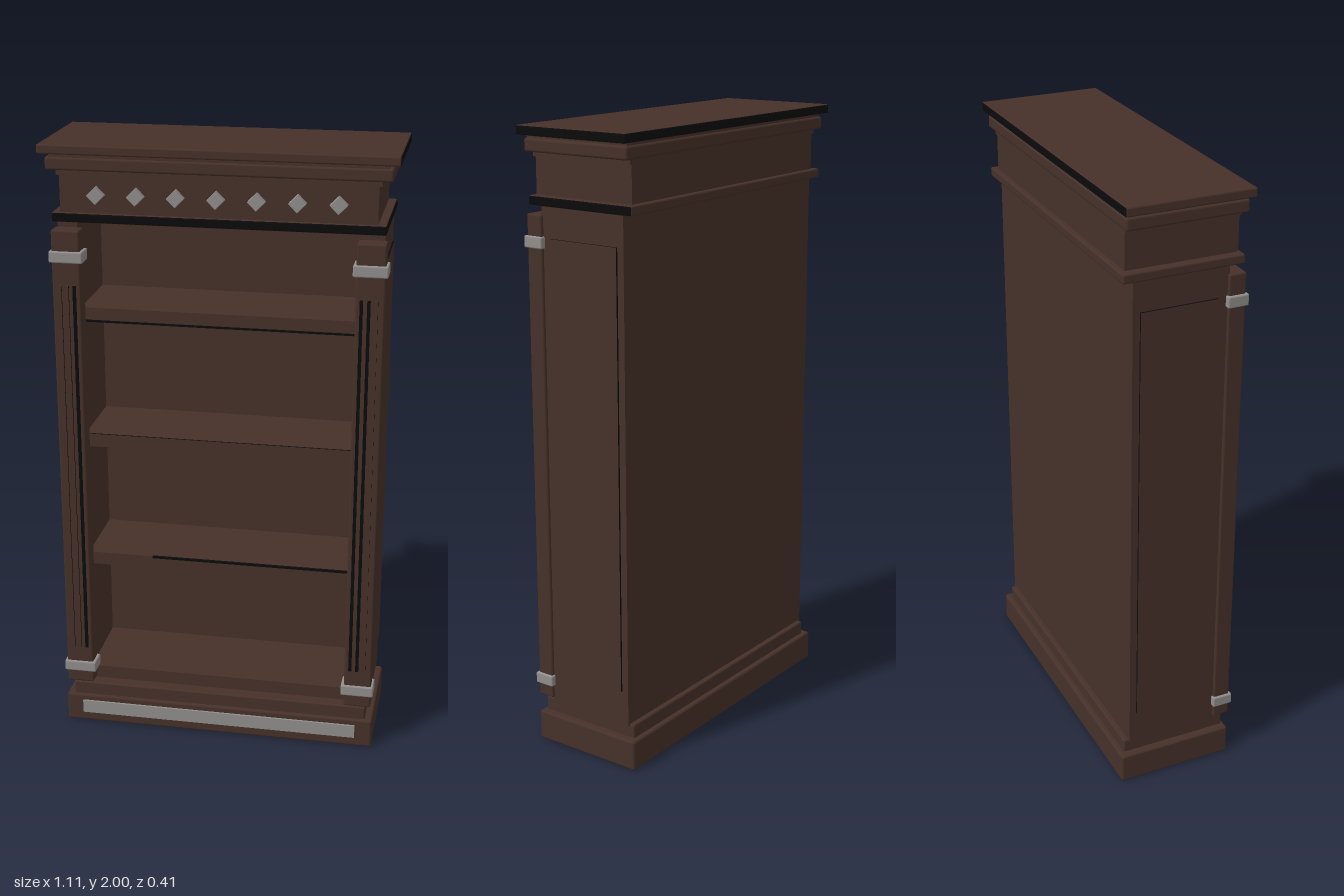
import * as THREE from 'three';
import { RoundedBoxGeometry } from 'three/addons/geometries/RoundedBoxGeometry.js';

export function createModel() {
  const model = new THREE.Group();
  model.name = 'bookcase';

  const wood = new THREE.MeshStandardMaterial({ color: 0x463129 });
  wood.name = 'dark wood';
  const silver = new THREE.MeshStandardMaterial({ color: 0x918e8c });
  silver.name = 'silver';
  const black = new THREE.MeshStandardMaterial({ color: 0x0c0b0b });
  black.name = 'black lacquer';

  // Materials for the six faces of a box, black on the named ones
  const lacquered = (...faces) =>
    ['+x', '-x', '+y', '-y', '+z', '-z'].map((f) => (faces.includes(f) ? black : wood));

  // Box given by its limits on each axis; a bevel rounds the edges
  function block(name, [x0, x1], [y0, y1], [z0, z1], material = wood, bevel = 0) {
    const size = [x1 - x0, y1 - y0, z1 - z0];
    const geometry = bevel
      ? new RoundedBoxGeometry(...size, 2, bevel)
      : new THREE.BoxGeometry(...size);
    const mesh = new THREE.Mesh(geometry, material);
    mesh.name = name;
    mesh.position.set((x0 + x1) / 2, (y0 + y1) / 2, (z0 + z1) / 2);
    model.add(mesh);
    return mesh;
  }
  // Block centred on x
  const wide = (name, half, y, z, material, bevel) =>
    block(name, [-half, half], y, z, material, bevel);

  // Base
  wide('plinth', 0.527, [0, 0.1], [-0.197, 0.191], wood, 0.008);
  wide('plinthStep', 0.502, [0.095, 0.145], [-0.18, 0.18], wood, 0.006);
  wide('plinthPlate', 0.47, [0.035, 0.08], [0.189, 0.198], silver);

  // Carcass
  wide('backPanel', 0.51, [0.14, 1.77], [-0.163, -0.14]);
  wide('bottomBoard', 0.455, [0.14, 0.19], [-0.14, 0.14]);
  for (const y of [0.575, 1.0, 1.43]) {
    wide('shelf', 0.455, [y, y + 0.043], [-0.14, 0.13]);
  }
  // Dark lines along the shelf fronts
  block('lowerShelfEdge', [-0.23, 0.448], [0.612, 0.619], [0.124, 0.132], black);
  wide('middleShelfEdge', 0.448, [1.037, 1.044], [0.124, 0.13], lacquered('+y'));
  wide('upperShelfEdge', 0.448, [1.426, 1.433], [0.124, 0.132], black);

  // Sides and pilasters, mirrored
  for (const side of [-1, 1]) {
    const span = (a, b) => (side > 0 ? [a, b] : [-b, -a]);
    block('sideWall', span(0.448, 0.51), [0.14, 1.77], [-0.14, 0.145]);
    block('sidePanel', span(0.505, 0.516), [0.255, 1.665], [-0.14, 0.11],
      lacquered('+y', '-y', '+z', '-z'));
    block('pilaster', span(0.43, 0.52), [0.155, 1.735], [0.14, 0.196], wood, 0.006);
    for (const x of [0.449, 0.472, 0.495]) {
      const darkFront = x < (side > 0 ? 0.48 : 0.46);
      block('pilasterRib', span(x - 0.005, x + 0.005), [0.29, 1.56], [0.19, 0.202],
        darkFront ? black : lacquered('+x', '-x'));
    }
    for (const y of [0.197, 1.632]) {
      block('pilasterRing', span(0.42, 0.528), [y, y + 0.037], [0.135, 0.203], silver, 0.005);
    }
  }

  // Frieze between its lower band and the cornice
  wide('friezeBand', 0.517, [1.76, 1.79], [-0.197, 0.191], lacquered('+x', '+z'), 0.006);
  wide('frieze', 0.49, [1.78, 1.91], [-0.18, 0.18]);
  wide('corniceNeck', 0.5, [1.905, 1.93], [-0.182, 0.182]);
  wide('lowerCornice', 0.532, [1.92, 1.961], [-0.194, 0.191], wood, 0.008);
  wide('corniceStep', 0.52, [1.955, 1.975], [-0.187, 0.187]);
  wide('topBoard', 0.554, [1.97, 2], [-0.206, 0.201], lacquered('+x', '-z'), 0.006);

  // Row of diamond studs
  for (let i = -3; i <= 3; i++) {
    const s = 0.0195;
    const x = i * 0.1243;
    const stud = block('diamondStud', [x - s, x + s], [1.848 - s, 1.848 + s], [0.175, 0.205], silver, 0.002);
    stud.rotation.z = Math.PI / 4;
  }

  return model;
}
